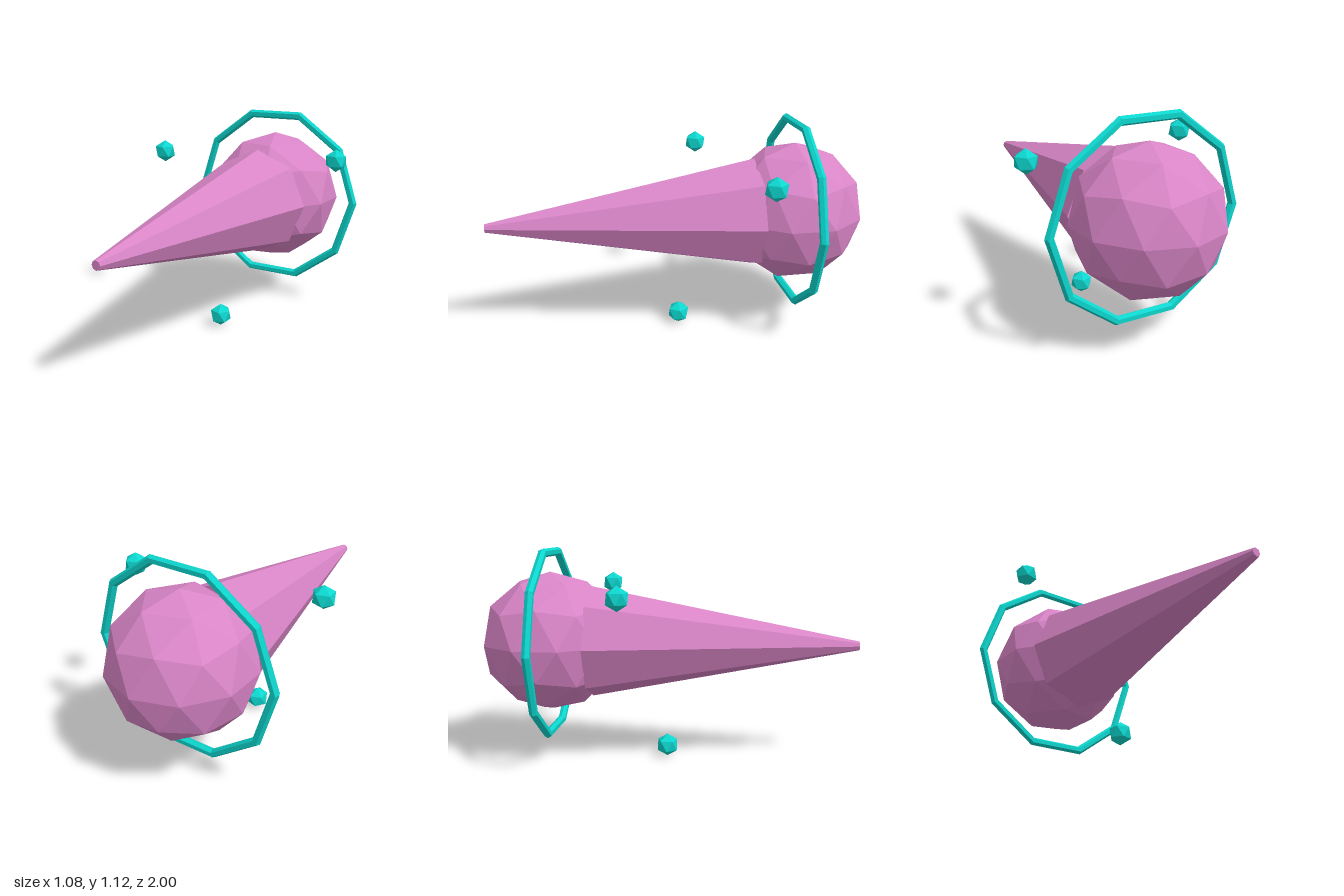
import * as THREE from 'three';

const CENTRE_Y = 0.625;
const HEAD_Z = -0.627;

export function createModel() {
  const model = new THREE.Group();
  const pink = new THREE.MeshStandardMaterial({ color: 0xd985c7, flatShading: true });
  pink.name = 'pink';
  const turquoise = new THREE.MeshStandardMaterial({ color: 0x0dd6ce, flatShading: true });
  turquoise.name = 'turquoise';

  const add = (parent, name, geometry, material, x = 0, y = 0, z = 0) => {
    const mesh = new THREE.Mesh(geometry, material);
    mesh.name = name;
    mesh.position.set(x, y, z);
    parent.add(mesh);
    return mesh;
  };

  // Icosahedron turned so that one corner points straight up
  const uprightIcosahedron = (radius, detail) =>
    new THREE.IcosahedronGeometry(radius, detail)
      .rotateX(-Math.atan((1 + Math.sqrt(5)) / 2))
      .rotateY(Math.PI / 2);

  // Faceted ball at the back
  add(model, 'ball', uprightIcosahedron(0.373, 1), pink, 0, CENTRE_Y, HEAD_Z);

  // Eight-sided spike tapering to the front
  const back = -0.405;
  const spike = new THREE.CylinderGeometry(0.023, 0.298, 1 - back, 8).rotateX(Math.PI / 2);
  add(model, 'spike', spike, pink, 0, CENTRE_Y, (1 + back) / 2);

  // Ring of ten six-sided bars around the ball
  const ring = new THREE.Group();
  ring.name = 'ring';
  ring.position.set(0, CENTRE_Y, HEAD_Z + 0.004);
  const bar = new THREE.CylinderGeometry(0.0222, 0.0222, 0.322, 6)
    .rotateY(Math.PI / 6)
    .rotateZ(Math.PI / 2)
    .translate(0, 0.4755, 0);
  for (let i = 0; i < 10; i++) {
    add(ring, 'ringBar', bar, turquoise).rotation.z = (i * Math.PI) / 5;
  }
  model.add(ring);

  // Three floating gems, each set further back than the last
  const gem = uprightIcosahedron(0.061, 0);
  for (let i = 0; i < 3; i++) {
    const angle = -Math.PI / 2 - (i * Math.PI * 2) / 3;
    add(model, 'gem', gem, turquoise,
      0.563 * Math.cos(angle), CENTRE_Y + 0.563 * Math.sin(angle), -0.1875 * i);
  }

  return model;
}
